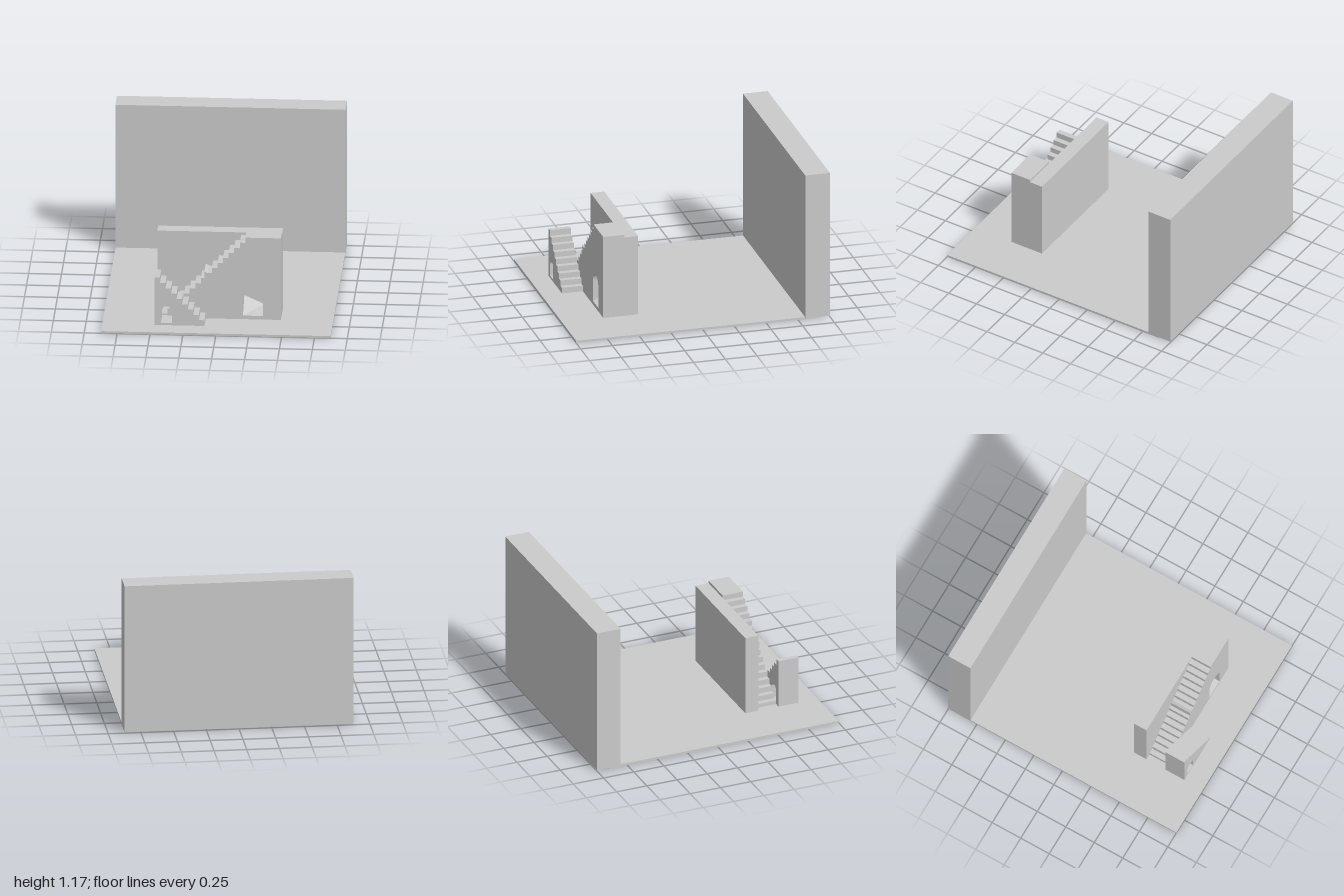
import * as THREE from 'three';

const material = new THREE.MeshStandardMaterial({ color: 0xcccccc, flatShading: true });
const BASE = 0.017;

function addMesh(parent, name, geometry) {
  const mesh = new THREE.Mesh(geometry, material);
  mesh.name = name;
  parent.add(mesh);
  return mesh;
}

// box given by its limits on each axis
function addBlock(parent, name, [x0, x1], [y0, y1], [z0, z1]) {
  const mesh = addMesh(parent, name, new THREE.BoxGeometry(x1 - x0, y1 - y0, z1 - z0));
  mesh.position.set((x0 + x1) / 2, (y0 + y1) / 2, (z0 + z1) / 2);
  return mesh;
}

// round-headed doorway outline
function archHole(x0, x1, y0, y1) {
  const r = (x1 - x0) / 2;
  const hole = new THREE.Path();
  hole.moveTo(x0, y0);
  hole.lineTo(x0, y1 - r);
  hole.absarc((x0 + x1) / 2, y1 - r, r, Math.PI, 0, true);
  hole.lineTo(x1, y0);
  hole.closePath();
  return hole;
}

// side profile with a doorway, extruded along z
function addStair(parent, name, points, hole, z0, z1) {
  const shape = new THREE.Shape(points.map(([x, y]) => new THREE.Vector2(x, y)));
  shape.holes.push(hole);
  const geometry = new THREE.ExtrudeGeometry(shape, {
    depth: z1 - z0, bevelEnabled: false, curveSegments: 12,
  });
  geometry.translate(0, 0, z0);
  return addMesh(parent, name, geometry);
}

export function createModel() {
  const model = new THREE.Group();

  // ground slab and tall back wall
  addBlock(model, 'floor', [-0.873, 0.873], [0, BASE], [-0.9, 1]);
  addBlock(model, 'backWall', [-0.875, 0.875], [0.008, 1.174], [-1, -0.805]);

  // thin wall behind the stairs
  addBlock(model, 'stairWall', [-0.475, 0.475], [BASE, 0.657], [0.4, 0.508]);

  // upper flight climbs to +x and ends in a landing
  const run = 0.0423, rise = 0.042;
  const upper = [[0.475, BASE], [0.475, 0.678], [0.205, 0.678]];
  for (let i = 1; i <= 15; i++) {
    const x = 0.205 - run * (i - 1), y = 0.678 - rise * i;
    upper.push([x, y]);
    // one step has a raised nosing
    if (i === 7) upper.push([-0.08, y], [-0.107, 0.397], [-0.107, y - rise]);
    else if (i !== 8) upper.push([x - run, y]);
    else upper[upper.length - 1] = [x - run, y];
  }
  upper.push([0.205 - run * 15, BASE]);
  addStair(model, 'upperStair', upper, archHole(0.187, 0.338, 0.046, 0.291), 0.508, 0.675);

  // sloping floor inside the large doorway
  const ramp = addBlock(model, 'doorwayRamp', [0.187, 0.338], [0.03, 0.046], [0.508, 0.675]);
  const p = ramp.geometry.attributes.position;
  for (let i = 0; i < p.count; i++) {
    if (p.getY(i) > 0 && p.getZ(i) < 0) p.setY(i, p.getY(i) + (p.getX(i) < 0 ? 0.104 : 0.035));
  }
  ramp.geometry.computeVertexNormals();

  // lower flight climbs to -x
  const lower = [[-0.475, BASE], [-0.096, BASE]];
  for (let i = 0; i < 9; i++) {
    const x = -0.096 - run * i, y = 0.063 + rise * i + (i === 8 ? 0.004 : 0);
    lower.push([x, y], [i === 8 ? -0.475 : x - run, y]);
  }
  addStair(model, 'lowerStair', lower, archHole(-0.427, -0.343, 0.035, 0.17), 0.675, 0.84);

  return model;
}
